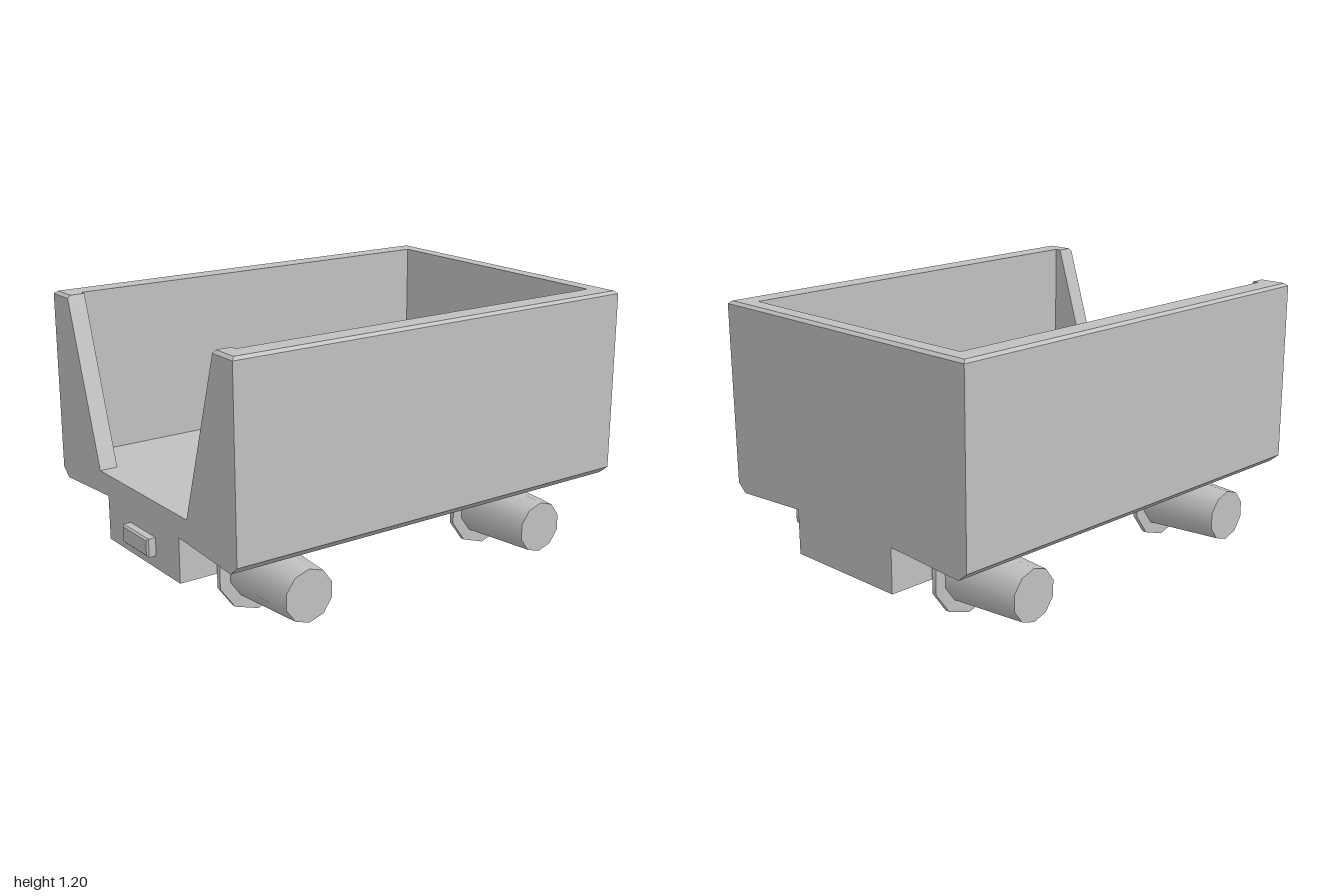
import * as THREE from 'three';

const FLOOR = 0.48, TOP = 1.2, BACK = -0.96, FRONT = 1.0, HALF = 0.72;

// Plan outline of the tub walls: a U, open at the -x end by a gap of half-width s
function wallOutline(y, inset) {
  const s = 0.36 + (0.228 * (y - FLOOR)) / (TOP - FLOOR);
  const x0 = BACK + inset, x1 = FRONT - inset, z = HALF - inset, iz = 0.615;
  return [
    [x0, s], [x0, z], [x1, z], [x1, -z], [x0, -z], [x0, -s],
    [-0.88, -s], [-0.88, -iz], [0.92, -iz], [0.92, iz], [-0.88, iz], [-0.88, s],
  ].map(([px, pz]) => new THREE.Vector3(px, y, pz));
}

// Stack of matching outlines joined by quads and capped on top
function loftOutlines(loops) {
  const points = [];
  for (let k = 0; k + 1 < loops.length; k++) {
    const low = loops[k], up = loops[k + 1], n = low.length;
    for (let i = 0; i < n; i++) {
      const j = (i + 1) % n;
      points.push(low[i], low[j], up[j], low[i], up[j], up[i]);
    }
  }
  const last = loops[loops.length - 1];
  const flat = last.map((p) => new THREE.Vector2(p.x, -p.z));
  for (const tri of THREE.ShapeUtils.triangulateShape(flat, [])) {
    points.push(...tri.map((i) => last[i]));
  }
  const geometry = new THREE.BufferGeometry().setFromPoints(points);
  geometry.computeVertexNormals();
  return geometry;
}

export function createModel() {
  const group = new THREE.Group();
  group.name = 'miningCart';
  const grey = new THREE.MeshStandardMaterial({ color: 0xc0c0c0 });
  grey.name = 'plain grey';

  const add = (name, geometry, parent = group) => {
    const mesh = new THREE.Mesh(geometry, grey);
    mesh.name = name;
    parent.add(mesh);
    return mesh;
  };

  // Tub floor and chassis: one cross-section run along the length
  const half = [[0.295, 0.19], [0.295, 0.385], [0.675, 0.362], [HALF, 0.4], [HALF, FLOOR]];
  const mirrored = half.map(([z, y]) => [-z, y]).reverse();
  const section = new THREE.Shape([...half, ...mirrored].map(([z, y]) => new THREE.Vector2(z, y)));
  const base = new THREE.ExtrudeGeometry(section, { depth: FRONT - BACK, bevelEnabled: false });
  base.rotateY(Math.PI / 2).translate(BACK, 0, 0);
  add('chassisAndFloor', base);

  // Walls with a bevelled outer rim and a sloping cut in the -x end
  add('tubWalls', loftOutlines([
    wallOutline(FLOOR, 0), wallOutline(1.188, 0), wallOutline(TOP, 0.014),
  ]));

  // Coupling block on the -x end
  const b = 0.008;
  const plate = new THREE.Shape([[-0.105, 0.245], [0.105, 0.245], [0.105, 0.325], [-0.105, 0.325]]
    .map(([z, y]) => new THREE.Vector2(z, y)));
  const coupling = new THREE.ExtrudeGeometry(plate, {
    depth: 0.04, bevelEnabled: true, bevelSegments: 1, bevelSize: b, bevelThickness: b, bevelOffset: -b,
  });
  coupling.rotateY(-Math.PI / 2).translate(-1 + b + 0.04, 0, 0);
  add('coupling', coupling);

  // Four ten-sided wheels: thin flange inside, tapered tread outside
  for (const x of [-0.615, 0.62]) {
    for (const side of [1, -1]) {
      const wheel = new THREE.Group();
      wheel.name = 'wheel';
      wheel.position.set(x, 0.19, 0);
      wheel.rotation.x = (side * Math.PI) / 2;
      add('wheelFlange', new THREE.CylinderGeometry(0.188, 0.188, 0.022, 10), wheel).position.y = 0.313;
      add('wheelTread', new THREE.CylinderGeometry(0.113, 0.136, 0.37, 10), wheel).position.y = 0.507;
      group.add(wheel);
    }
  }
  return group;
}
